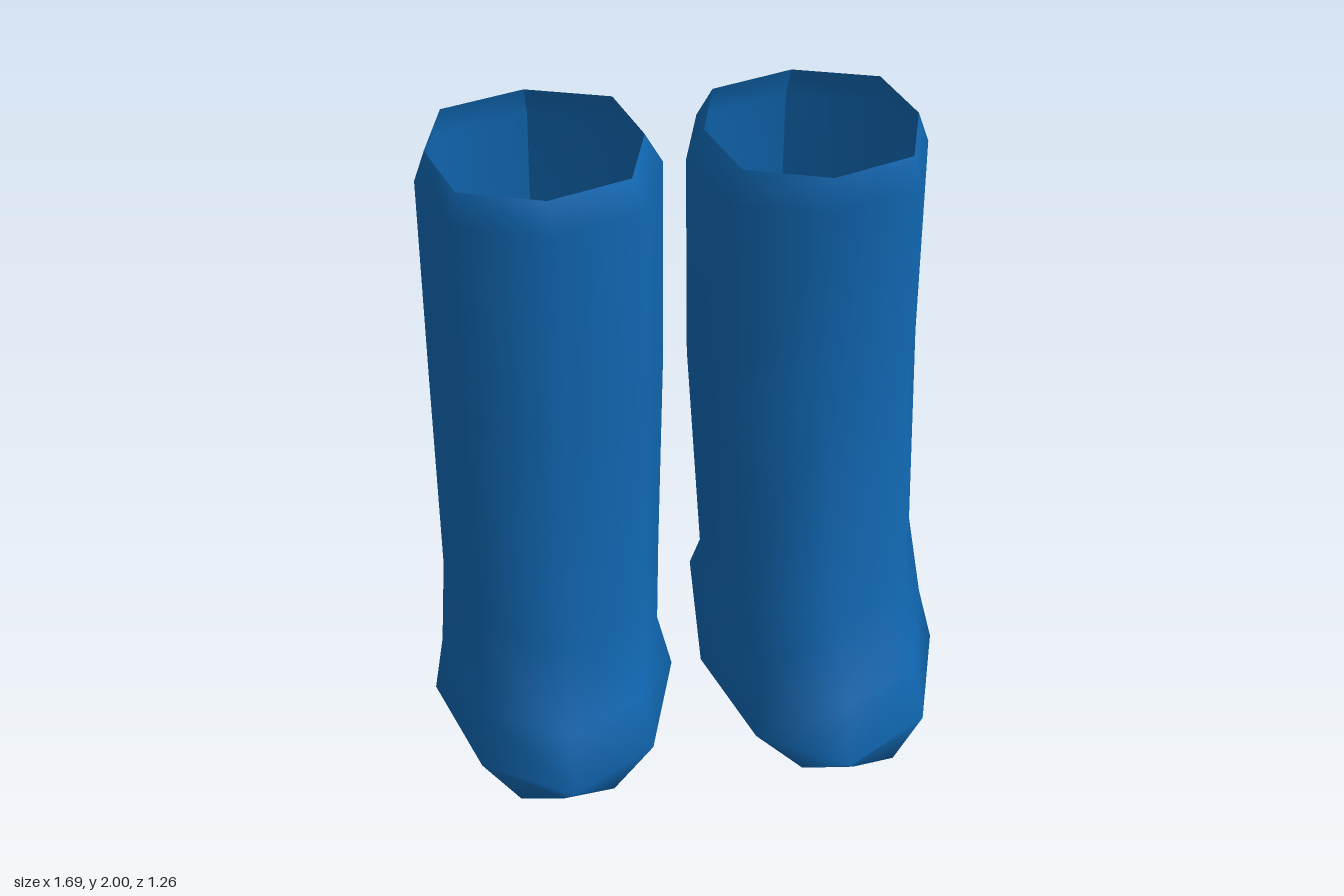
import * as THREE from 'three';

// Eight-sided cross-sections, from the sole edge up to the rim:
// y, inner x, outer x, front z, back z, side z, front x shift, back x shift,
// corner fractions: front x, front z, back x, back z
const RINGS = [
  [0.02, 0.11, 0.78, 0.55, -0.54, 0.03, 0.03, -0.06, 0.45, 0.97, 0.75, 0.76],
  [0.09, 0.05, 0.845, 0.63, -0.625, 0.055, 0.0, -0.08, 0.7, 0.69, 0.75, 0.76],
  [0.25, 0.09, 0.81, 0.535, -0.585, 0.0, 0.0, -0.04, 0.72, 0.7, 0.78, 0.75],
  [0.49, 0.07, 0.785, 0.39, -0.628, -0.1, 0.0, 0.0, 0.74, 0.72, 0.82, 0.72],
  [1.2, 0.038, 0.785, 0.225, -0.587, -0.18, 0.0, 0.0, 0.76, 0.72, 0.8, 0.74],
  [1.9, 0.035, 0.785, 0.2, -0.54, -0.18, 0.0, 0.0, 0.77, 0.73, 0.8, 0.75],
  [2.0, 0.09, 0.75, 0.16, -0.51, -0.18, 0.0, 0.0, 0.78, 0.74, 0.8, 0.74],
];

// One loop of nine points starting and ending at the back seam
function ringPoints([y, xi, xo, zf, zb, zs, sf, sb, fx, fz, bx, bz], side) {
  const c = (xi + xo) / 2, r = (xo - xi) / 2;
  const front = zf - zs, back = zb - zs;
  const toeY = y < 0.05 ? y - 0.015 : y;
  return [
    [c + sb, y, zb],
    [c + sb * 0.7 + r * bx, y, zs + back * bz],
    [xo, y, zs],
    [c + sf * 0.5 + r * fx, toeY, zs + front * fz],
    [c + sf, y < 0.05 ? 0 : y, zf],
    [c + sf * 0.5 - r * fx, toeY, zs + front * fz],
    [xi, y, zs],
    [c + sb * 0.7 - r * bx, y, zs + back * bz],
    [c + sb, y, zb],
  ].map(([x, py, z]) => [x * side, py, z]);
}

function makeGeometry(points, index, side) {
  // Mirrored parts need their corners in the reverse order
  if (side < 0) {
    for (let i = 0; i < index.length; i += 3) {
      [index[i + 1], index[i + 2]] = [index[i + 2], index[i + 1]];
    }
  }
  const geo = new THREE.BufferGeometry();
  geo.setAttribute('position', new THREE.Float32BufferAttribute(points.flat(), 3));
  geo.setIndex(index);
  geo.computeVertexNormals();
  return geo;
}

// Open leg and foot, smooth all round except at the back seam
function shaftGeometry(side) {
  const points = RINGS.flatMap((ring) => ringPoints(ring, side));
  const index = [];
  for (let j = 0; j < RINGS.length - 1; j++) {
    for (let i = 0; i < 8; i++) {
      const a = j * 9 + i, b = a + 1, d = a + 9, e = a + 10;
      index.push(a, d, b, b, d, e);
    }
  }
  return makeGeometry(points, index, side);
}

// Flat underside, fanned from its middle
function soleGeometry(side) {
  const points = ringPoints(RINGS[0], side);
  points.push([0.445 * side, 0.018, 0.02]);
  const index = [];
  for (let i = 0; i < 8; i++) index.push(9, i, i + 1);
  return makeGeometry(points, index, side);
}

export function createModel() {
  const blue = new THREE.MeshStandardMaterial({ color: 0x1066b0, side: THREE.DoubleSide });
  blue.name = 'boot blue';

  const model = new THREE.Group();
  model.name = 'boots';
  for (const side of [1, -1]) {
    const boot = new THREE.Group();
    boot.name = side > 0 ? 'leftBoot' : 'rightBoot';
    const shaft = new THREE.Mesh(shaftGeometry(side), blue);
    shaft.name = 'shaft';
    const sole = new THREE.Mesh(soleGeometry(side), blue);
    sole.name = 'sole';
    boot.add(shaft, sole);
    model.add(boot);
  }
  return model;
}
